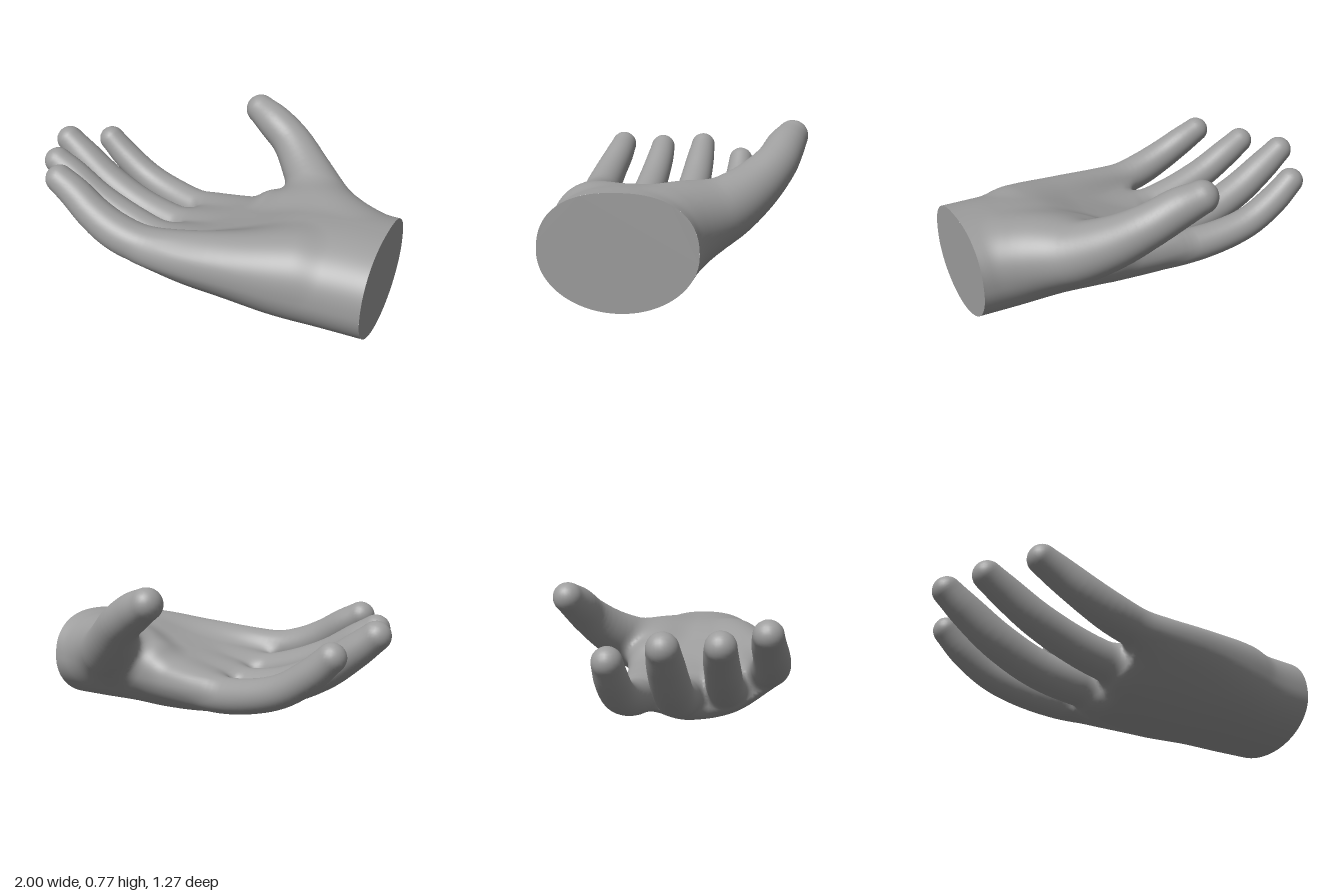
import * as THREE from 'three';

// Palm and wrist sections: x, then centre y, centre z, half width, half height, cup of the palm
const PALM = [
  [-0.12, 0.175, 0.185, 0.4, 0.12, 0.09],
  [0.05, 0.181, 0.184, 0.424, 0.158, 0.085],
  [0.3, 0.212, 0.18, 0.42, 0.204, 0.06],
  [0.55, 0.254, 0.187, 0.393, 0.249, 0.02],
  [0.8, 0.267, 0.175, 0.367, 0.264, 0],
  [1.0, 0.268, 0.175, 0.357, 0.265, 0],
];

// Digits and the ball of the thumb, from inside the palm outwards: x, y, z, radius
const DIGITS = {
  ballOfThumb: [
    [0.78, 0.33, 0.0, 0.165], [0.6, 0.35, -0.06, 0.168], [0.45, 0.335, -0.09, 0.155],
    [0.32, 0.305, -0.12, 0.13],
  ],
  thumb: [
    [0.85, 0.3, 0.06, 0.15], [0.72, 0.33, -0.05, 0.17], [0.55, 0.37, -0.21, 0.16],
    [0.4, 0.46, -0.36, 0.133], [0.26, 0.566, -0.472, 0.11], [0.13, 0.645, -0.522, 0.1],
    [0.02, 0.695, -0.56, 0.083],
  ],
  indexFinger: [
    [0.25, 0.22, -0.11, 0.1], [0.02, 0.195, -0.14, 0.1], [-0.18, 0.19, -0.163, 0.096],
    [-0.38, 0.22, -0.197, 0.09], [-0.55, 0.275, -0.22, 0.085], [-0.7, 0.37, -0.232, 0.081],
    [-0.81, 0.467, -0.237, 0.073],
  ],
  middleFinger: [
    [0.25, 0.2, 0.09, 0.1], [0.02, 0.19, 0.08, 0.11], [-0.18, 0.19, 0.07, 0.105],
    [-0.42, 0.235, 0.05, 0.1], [-0.64, 0.335, 0.038, 0.096], [-0.81, 0.455, 0.025, 0.087],
    [-0.925, 0.545, 0.018, 0.075],
  ],
  ringFinger: [
    [0.25, 0.21, 0.29, 0.1], [0.02, 0.22, 0.305, 0.105], [-0.16, 0.235, 0.305, 0.1],
    [-0.36, 0.29, 0.293, 0.095], [-0.56, 0.375, 0.283, 0.089], [-0.72, 0.475, 0.27, 0.082],
    [-0.825, 0.54, 0.268, 0.074],
  ],
  littleFinger: [
    [0.62, 0.35, 0.37, 0.155], [0.3, 0.338, 0.45, 0.137], [0.05, 0.335, 0.5, 0.112],
    [-0.13, 0.338, 0.523, 0.1], [-0.28, 0.373, 0.53, 0.098], [-0.42, 0.437, 0.52, 0.091],
    [-0.55, 0.517, 0.497, 0.083], [-0.65, 0.573, 0.487, 0.074],
  ],
};

const smoothMin = (a, b, k) => Math.min(a, b) - Math.max(k - Math.abs(a - b), 0) ** 2 / (4 * k);

// The back of the hand is a plain ellipse, the palm side a little squarer
const roundness = (dy) => (dy > 0 ? 2.4 : 2);

// Signed distance to the lofted palm, rounded off at the knuckles
const sections = new THREE.CubicInterpolant(
  PALM.map((s) => s[0]), PALM.flatMap((s) => s.slice(1)), 5, new Float32Array(5));
function palmDistance(x, y, z) {
  const [cy, cz, width, height, cup] = sections.evaluate(x);
  const dz = z - cz;
  const u = dz / width, across = THREE.MathUtils.clamp(u, -1, 1);
  const dy = y - cy - cup * (across * across + 0.45 * across);
  const power = roundness(dy);
  const q = Math.max((Math.abs(u) ** power + Math.abs(dy / height) ** power) ** (1 / power), 1e-4);
  const radial = (q - 1) * Math.hypot(dz, dy) / q;
  return -smoothMin(-radial, x + 0.13, 0.08);
}

// Signed distance to a chain of round cones along a smooth curve
function digitDistance(stations) {
  const curve = new THREE.CatmullRomCurve3(
    stations.map((s) => new THREE.Vector3(...s)), false, 'catmullrom');
  const girth = new THREE.SplineCurve(stations.map((s, i) => new THREE.Vector2(i, s[3])));
  const count = 28;
  const segments = Array.from({ length: count }, (_, i) => {
    const a = curve.getPoint(i / count), d = curve.getPoint((i + 1) / count).sub(a);
    const r = girth.getPoint(i / count).y, dr = girth.getPoint((i + 1) / count).y - r;
    const length2 = d.lengthSq();
    return { a, d, r, dr, length2, lean: dr / (length2 * Math.sqrt(1 - dr * dr / length2)) };
  });
  return (x, y, z) => {
    let best = Infinity;
    for (const { a, d, r, dr, length2, lean } of segments) {
      const px = x - a.x, py = y - a.y, pz = z - a.z;
      const along = (px * d.x + py * d.y + pz * d.z) / length2;
      const off = Math.sqrt(Math.max(px * px + py * py + pz * pz - along * along * length2, 0));
      const t = Math.min(1, Math.max(0, along + off * lean));
      const gap = Math.sqrt(off * off + (along - t) ** 2 * length2);
      best = Math.min(best, gap - r - dr * t);
    }
    return best;
  };
}

// Skin a signed distance field: one vertex per crossed grid cell, one quad per crossed grid edge
function skin(field, origin, step, dims, partOf) {
  const strides = [dims[1] * dims[2], dims[2], 1];
  const at = (cell) => cell[0] * strides[0] + cell[1] * strides[1] + cell[2];
  const eachCell = (from, visit) => {
    for (let i = from; i < dims[0] - 1; i++)
      for (let j = from; j < dims[1] - 1; j++)
        for (let k = from; k < dims[2] - 1; k++) visit([i, j, k]);
  };
  const values = new Float32Array(dims[0] * strides[0]);
  for (let n = 0; n < values.length; n++) {
    const i = Math.floor(n / strides[0]), j = Math.floor(n / dims[2]) % dims[1], k = n % dims[2];
    values[n] = field(origin[0] + i * step, origin[1] + j * step, origin[2] + k * step);
  }

  // Vertices: mean of the edge crossings, then one step onto the surface
  const vertexOf = new Int32Array(values.length);
  const positions = [], normals = [];
  eachCell(0, (cell) => {
    const base = at(cell), sum = [0, 0, 0];
    let crossings = 0;
    for (let corner = 0; corner < 8; corner++) {
      const bits = [corner & 1, (corner >> 1) & 1, corner >> 2];
      const n = base + at(bits);
      for (let axis = 0; axis < 3; axis++) {
        const v0 = values[n], v1 = values[n + strides[axis]];
        if (bits[axis] || (v0 < 0) === (v1 < 0)) continue;
        for (let m = 0; m < 3; m++) sum[m] += bits[m] + (m === axis ? v0 / (v0 - v1) : 0);
        crossings++;
      }
    }
    if (!crossings) return;
    const p = cell.map((c, m) => origin[m] + step * (c + sum[m] / crossings));
    const slope = () => new THREE.Vector3(...[0, 1, 2].map((m) => {
      const lo = [...p], hi = [...p];
      lo[m] -= 0.006;
      hi[m] += 0.006;
      return (field(...hi) - field(...lo)) / 0.012;
    }));
    const g = slope(), shift = field(...p) / Math.max(g.lengthSq(), 0.5);
    g.toArray().forEach((v, m) => { p[m] -= v * shift; });
    normals.push(...slope().normalize().toArray());
    vertexOf[base] = positions.length / 3;
    positions.push(Math.min(p[0], 1), p[1], p[2]); // the wrist is cut at x = 1
  });

  // Quads, sorted by the part they belong to
  const indices = {};
  eachCell(1, (cell) => {
    const n = at(cell);
    for (let axis = 0; axis < 3; axis++) {
      const inside = values[n] < 0;
      if (inside === values[n + strides[axis]] < 0) continue;
      const b = strides[(axis + 1) % 3], c = strides[(axis + 2) % 3];
      const quad = [n - b - c, n - c, n, n - b].map((id) => vertexOf[id]);
      if (!inside) quad.reverse();
      if (quad.every((v) => positions[v * 3] >= 1)) continue;
      const [p, q, r, s] = quad;
      const part = partOf(...positions.slice(p * 3, p * 3 + 3));
      (indices[part] ??= []).push(p, q, r, p, r, s);
    }
  });
  return Object.entries(indices).map(([name, index]) => {
    const geometry = new THREE.BufferGeometry();
    geometry.setAttribute('position', new THREE.Float32BufferAttribute(positions, 3));
    geometry.setAttribute('normal', new THREE.Float32BufferAttribute(normals, 3));
    geometry.setIndex(index);
    return [name, geometry.toNonIndexed()];
  });
}

export function createModel() {
  const hand = new THREE.Group();
  hand.name = 'hand';
  const material = new THREE.MeshStandardMaterial({ color: 0x9d9d9d });
  const add = (name, geometry) => {
    const mesh = new THREE.Mesh(geometry, material);
    mesh.name = name;
    hand.add(mesh);
  };

  // Palm, fingers and thumb flow into one another
  const parts = { palmAndWrist: palmDistance };
  for (const [name, stations] of Object.entries(DIGITS)) parts[name] = digitDistance(stations);
  const { ballOfThumb, thumb, indexFinger, middleFinger, ringFinger, littleFinger } = parts;
  const field = (x, y, z) => {
    const fingers = [indexFinger, middleFinger, ringFinger, littleFinger]
      .reduce((d, finger) => smoothMin(d, finger(x, y, z), 0.02), 10);
    const palm = smoothMin(palmDistance(x, y, z), ballOfThumb(x, y, z), 0.08);
    return smoothMin(smoothMin(palm, fingers, 0.075), thumb(x, y, z), 0.08);
  };
  const partOf = (...p) => Object.keys(parts)
    .reduce((best, name) => (parts[name](...p) < parts[best](...p) ? name : best));
  for (const [name, geometry] of skin(field, [-1.04, -0.04, -0.68], 0.018, [117, 49, 76], partOf)) {
    add(name, geometry);
  }

  // Flat cut through the wrist
  const [x, y, z, width, height] = PALM.at(-1);
  const bulge = (v, power) => Math.sign(v) * Math.abs(v) ** (2 / power);
  const rim = Array.from({ length: 96 }, (_, i) => {
    const c = Math.cos(i / 48 * Math.PI), s = Math.sin(i / 48 * Math.PI), power = roundness(s);
    return new THREE.Vector2(width * bulge(c, power), height * bulge(s, power));
  });
  add('wristCut', new THREE.ShapeGeometry(new THREE.Shape(rim)).rotateY(Math.PI / 2).translate(x, y, z));

  return hand;
}
